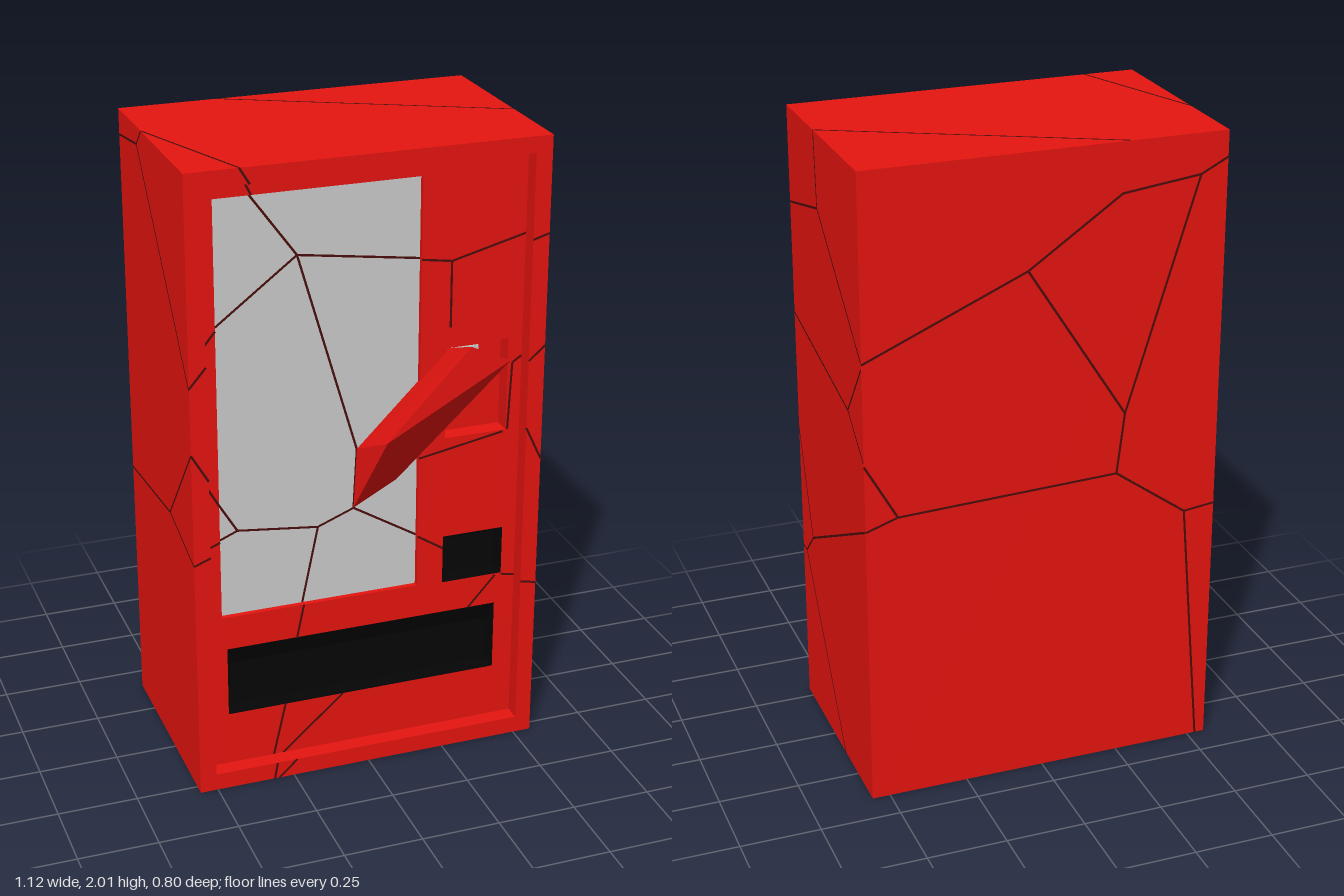
import * as THREE from 'three';
import { ConvexGeometry } from 'three/addons/geometries/ConvexGeometry.js';

const W = 0.557, H = 2, BACK = -0.402, FRONT = 0.29, PANEL = 0.237, POCKET = 0.18;

const mat = (color, side = THREE.FrontSide) =>
  new THREE.MeshStandardMaterial({ color, side, flatShading: true });
const red = mat(0xe61410), black = mat(0x050505), grey = mat(0xcccccc);
const crackMat = mat(0x4a0d0b, THREE.DoubleSide);

function add(parent, name, geometry, material) {
  const mesh = new THREE.Mesh(geometry, material);
  mesh.name = name;
  parent.add(mesh);
  return mesh;
}

// Box given by its limits on each axis
function block(x0, x1, y0, y1, z0, z1) {
  return new THREE.BoxGeometry(x1 - x0, y1 - y0, z1 - z0)
    .translate((x0 + x1) / 2, (y0 + y1) / 2, (z0 + z1) / 2);
}

function rect(target, [x0, x1, y0, y1]) {
  target.moveTo(x0, y0);
  target.lineTo(x1, y0);
  target.lineTo(x1, y1);
  target.lineTo(x0, y1);
  target.closePath();
  return target;
}

// Flat plate with rectangular openings
function plate(outer, holes, z0, z1) {
  const shape = rect(new THREE.Shape(), outer);
  holes.forEach(h => shape.holes.push(rect(new THREE.Path(), h)));
  return new THREE.ExtrudeGeometry(shape, { depth: z1 - z0, bevelEnabled: false }).translate(0, 0, z0);
}

// Black insert of an opening: floor, upright back, sloped ceiling and two cheeks
function addChute(parent, name, [x0, x1, y0, y1], bend) {
  const t = 0.004, z = POCKET + t;
  const group = new THREE.Group();
  group.name = name;
  parent.add(group);
  const profile = [[-PANEL, y0], [-PANEL, y0 + t], [-z, y0 + t], [-z, bend], [-PANEL, y1], [-POCKET, y1], [-POCKET, y0]];
  const shape = new THREE.Shape(profile.map(p => new THREE.Vector2(...p)));
  add(group, 'chuteWall', new THREE.ExtrudeGeometry(shape, { depth: x1 - x0, bevelEnabled: false })
    .rotateY(Math.PI / 2).translate(x0, 0, 0), black);
  add(group, 'chuteCheek', block(x0, x0 + t, y0, y1, POCKET, PANEL), black);
  add(group, 'chuteCheek', block(x1 - t, x1, y0, y1, POCKET, PANEL), black);
}

// Thin dark strips along polylines of (u, v) points, placed on a face by map(u, v)
function cracks(parent, name, lines, map, width = 0.007) {
  const pos = [];
  for (const line of lines) {
    for (let i = 0; i + 1 < line.length; i++) {
      const [a, b] = [new THREE.Vector2(...line[i]), new THREE.Vector2(...line[i + 1])];
      const d = b.clone().sub(a).normalize().multiplyScalar(width / 2);
      const n = new THREE.Vector2(-d.y, d.x);
      const [p, q, r, s] = [a.clone().add(n), a.clone().sub(n), b.clone().sub(n), b.clone().add(n)];
      for (const c of [p, q, r, p, r, s]) pos.push(...map(c.x, c.y));
    }
  }
  const g = new THREE.BufferGeometry();
  g.setAttribute('position', new THREE.Float32BufferAttribute(pos, 3));
  g.computeVertexNormals();
  add(parent, name, g, crackMat);
}

export function createModel() {
  const root = new THREE.Group();
  root.name = 'brokenVendingMachine';

  const outer = [-W, W, 0, H];
  const rim = [-0.505, 0.505, 0.055, 1.95];
  const windowHole = [-0.46, 0.175, 0.57, 1.9];
  const tray = [-0.445, 0.44, 0.23, 0.46];
  const coin = [0.26, 0.46, 0.565, 0.725];
  const keypad = [0.26, 0.46, 1.06, 1.36];

  // Cabinet, recessed front panel and raised rim
  add(root, 'cabinet', block(-W, W, 0, H, BACK, POCKET), red);
  add(root, 'frontPanel', plate(outer, [windowHole, tray, coin, keypad], POCKET, PANEL), red);
  add(root, 'frontRim', plate(outer, [rim], PANEL, FRONT), red);

  // Window, dispensing openings and payment pocket
  add(root, 'window', block(...windowHole, POCKET, 0.22), grey);
  addChute(root, 'dispenserTray', tray, 0.38);
  addChute(root, 'coinReturn', coin, 0.69);
  add(root, 'display', block(0.29, 0.385, 1.195, 1.33, POCKET, 0.185), grey);
  add(root, 'coinSlot', block(0.4, 0.43, 1.225, 1.285, POCKET, 0.2), black);

  // Broken chunk pushed out of the front
  const chunk = [
    [0.01, 1.15, 0.4], [0.27, 1.42, 0.4], [0.395, 1.36, 0.4],
    [0.405, 1.275, 0.2], [0.11, 0.94, 0.22], [-0.03, 0.865, 0.22],
    [-0.02, 1.06, 0.22], [0.27, 1.34, 0.2],
  ].map(p => new THREE.Vector3(...p));
  add(root, 'looseChunk', new ConvexGeometry(chunk), red);

  // Fracture lines on every face
  const group = new THREE.Group();
  group.name = 'fractureLines';
  root.add(group);
  const e = 0.0006;

  cracks(group, 'windowCracks', [
    [[-0.35, 1.9], [-0.205, 1.7], [0.175, 1.645]],
    [[-0.205, 1.7], [-0.455, 1.51]],
    [[-0.205, 1.7], [-0.02, 1.06], [-0.03, 0.865], [-0.145, 0.82], [-0.4, 0.85], [-0.46, 0.825]],
    [[-0.4, 0.85], [-0.46, 0.95]],
    [[-0.145, 0.82], [-0.197, 0.57]],
    [[-0.03, 0.865], [0.175, 0.74]],
  ], (x, y) => [x, y, 0.22 + e]);

  cracks(group, 'panelCracks', [
    [[-0.37, 1.95], [-0.345, 1.9]],
    [[0.175, 1.645], [0.27, 1.63], [0.505, 1.69]],
    [[-0.46, 1.505], [-0.505, 1.45]],
    [[0.27, 1.63], [0.27, 1.42]],
    [[-0.46, 0.828], [-0.505, 0.81]],
    [[-0.46, 0.95], [-0.505, 1.03]],
    [[-0.197, 0.57], [-0.22, 0.46]],
    [[-0.26, 0.23], [-0.3, 0.055]],
    [[0.175, 0.74], [0.26, 0.685]],
    [[0.46, 0.56], [0.505, 0.55]],
    [[0.44, 0.56], [0.35, 0.46]],
    [[-0.07, 0.23], [-0.27, 0.055]],
    [[0.175, 1.005], [0.45, 1.055]],
    [[0.465, 1.06], [0.475, 1.28], [0.505, 1.3]],
  ], (x, y) => [x, y, PANEL + e]);

  cracks(group, 'rimCracks', [
    [[-0.395, 2], [-0.365, 1.95]], [[-0.505, 1.42], [-W, 1.36]], [[0.505, 1.685], [W, 1.7]],
    [[-0.505, 0.81], [-W, 0.79]], [[-0.505, 1.06], [-W, 1.15]], [[-0.305, 0.055], [-0.315, 0]],
    [[0.505, 0.55], [W, 0.54]], [[-0.24, 0.055], [-0.3, 0]], [[0.505, 1.3], [W, 1.345]],
    [[0.505, 1.08], [W, 0.97]],
  ], (x, y) => [x, y, FRONT + e]);

  cracks(group, 'leftSideCracks', [
    [[0.01, 2], [-0.005, 1.77], [0.29, 1.7]],
    [[-0.005, 1.77], [-0.4, 1.44]],
    [[0.29, 1.345], [-0.26, 1.24], [-0.4, 1.42]],
    [[-0.26, 1.24], [-0.4, 1.13]],
    [[0.29, 0.96], [0.17, 0.62], [-0.4, 0.91]],
    [[0.17, 0.62], [0.25, 0.54], [0.29, 0.54]],
    [[0.25, 0.54], [-0.125, 0]],
  ], (z, y) => [W + e, y, z]);

  cracks(group, 'rightSideCracks', [
    [[-0.145, 2], [-0.2, 1.946], [-0.4, 1.92]],
    [[-0.2, 1.946], [0.29, 1.355]],
    [[0.29, 1.15], [0.04, 0.855], [0.29, 0.79]],
    [[0.04, 0.855], [-0.4, 0.815]],
  ], (z, y) => [-W - e, y, z]);

  cracks(group, 'backCracks', [
    [[W, 1.435], [0.057, 1.65], [-0.23, 1.847], [-0.473, 1.877], [-W, 1.92]],
    [[0.057, 1.65], [-0.253, 1.163], [-0.473, 1.877]],
    [[-0.253, 1.163], [-0.23, 0.97], [0.458, 0.943], [W, 0.91]],
    [[0.458, 0.943], [W, 1.12]],
    [[-0.23, 0.97], [-0.458, 0.805], [-W, 0.817]],
    [[-0.458, 0.805], [-0.526, 0]],
  ], (x, y) => [x, y, BACK - e]);

  cracks(group, 'topCracks', [
    [[-0.25, -0.4], [W, 0.01]], [[-W, -0.145], [-0.395, 0.29]],
  ], (x, z) => [x, H + e, z]);

  cracks(group, 'bottomCracks', [
    [[W, -0.13], [-0.354, -0.18], [-0.3, 0.29]], [[-0.354, -0.18], [-0.526, -0.4]],
  ], (x, z) => [x, -e, z]);

  return root;
}
